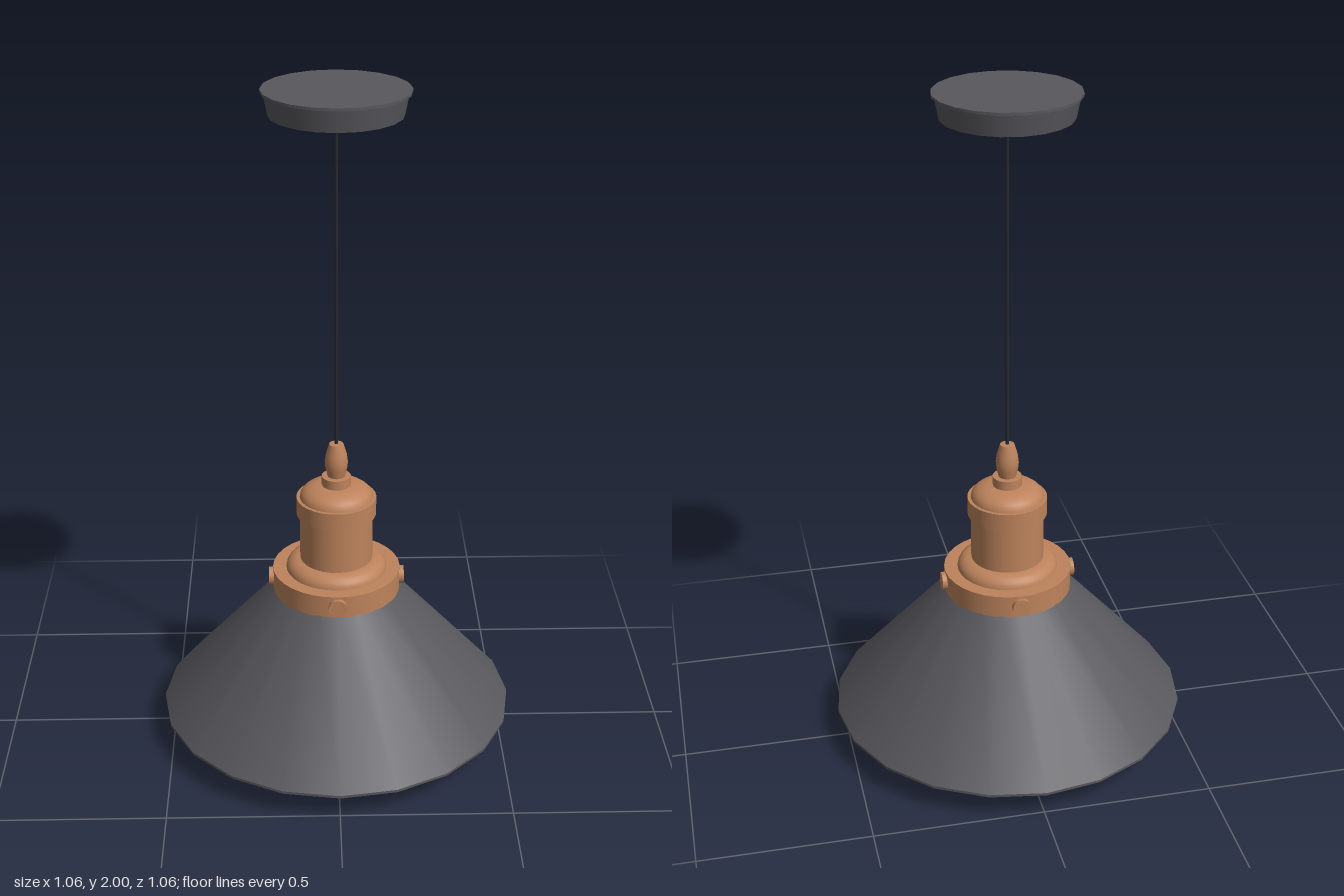
import * as THREE from 'three';

const mat = (name, color, side = THREE.FrontSide) => {
  const m = new THREE.MeshStandardMaterial({ color, side });
  m.name = name;
  return m;
};

// Revolve [radius, height] pairs listed bottom to top; doubled points keep corners sharp
function turned(name, profile, sides, material, smooth = false) {
  const pts = [];
  profile.forEach(([r, y], i) => {
    pts.push(new THREE.Vector2(r, y));
    if (!smooth && i > 0 && i < profile.length - 1) pts.push(new THREE.Vector2(r, y));
  });
  const mesh = new THREE.Mesh(new THREE.LatheGeometry(pts, sides), material);
  mesh.name = name;
  return mesh;
}

// Quarter-round shoulder from (r0, y0) in and up to (r1, y1)
function shoulder(r0, y0, r1, y1, n = 6) {
  const out = [];
  for (let i = 0; i <= n; i++) {
    const a = (i / n) * Math.PI / 2;
    out.push([r1 + (r0 - r1) * Math.cos(a), y0 + (y1 - y0) * Math.sin(a)]);
  }
  return out;
}

export function createModel() {
  const lamp = new THREE.Group();
  lamp.name = 'pendantLamp';
  const grey = mat('darkGreyMetal', 0x59585d);
  const copper = mat('copper', 0xbd835c);
  const black = mat('blackCable', 0x29282c);
  const glass = mat('paleGlass', 0xc9d6d8);

  // Ceiling canopy with a thin lip, and the cable below it
  lamp.add(turned('ceilingCanopy',
    [[0, 1.93], [0.185, 1.93], [0.197, 1.992], [0.205, 1.992], [0.205, 2], [0, 2]], 20, grey));
  lamp.add(turned('cableGrommet', [[0, 1.905], [0.009, 1.905], [0.009, 1.93]], 12, grey));
  lamp.add(turned('cable', [[0.005, 0.94], [0.005, 1.93]], 8, black));

  // Copper lamp holder, from the strain relief down to the shade ring
  const holder = new THREE.Group();
  holder.name = 'lampHolder';
  holder.add(turned('strainRelief',
    [[0.026, 0.85], [0.032, 0.875], [0.034, 0.895], [0.031, 0.92], [0.021, 0.953]], 20, copper, true));
  holder.add(turned('strainReliefTop', [[0.021, 0.953], [0, 0.954]], 20, copper));
  holder.add(turned('neckCollar', [[0.043, 0.815], [0.043, 0.85], [0, 0.85]], 24, copper));
  holder.add(turned('capDome', shoulder(0.108, 0.782, 0.04, 0.822), 32, copper, true));
  holder.add(turned('capBand',
    [[0.1, 0.728], [0.118, 0.728], [0.118, 0.782], [0.1, 0.782]], 32, copper));
  holder.add(turned('socketBody', [[0.108, 0.57], [0.108, 0.73]], 32, copper));
  holder.add(turned('flangeDome', shoulder(0.15, 0.548, 0.105, 0.583), 32, copper, true));
  holder.add(turned('shadeRing',
    [[0.17, 0.48], [0.19, 0.48], [0.19, 0.548], [0.1, 0.548]], 32, copper));

  // Four clamping screws around the ring
  for (let i = 0; i < 4; i++) {
    const a = i * Math.PI / 2;
    const screw = new THREE.Mesh(new THREE.CylinderGeometry(0.027, 0.027, 0.03, 20), copper);
    screw.name = 'clampScrew' + (i + 1);
    screw.rotation.set(Math.PI / 2, 0, -a, 'YXZ');
    screw.rotation.set(Math.PI / 2, a, 0, 'YXZ');
    screw.position.set(Math.sin(a) * 0.187, 0.515, Math.cos(a) * 0.187);
    holder.add(screw);
  }
  lamp.add(holder);

  // Thin conical shade: inner wall, rim and outer wall in one profile
  lamp.add(turned('shade',
    [[0, 0.485], [0.172, 0.485], [0.515, 0.095], [0.52, 0.088], [0.53, 0.088],
      [0.53, 0.096], [0.185, 0.487], [0, 0.495]], 20, grey));

  // Capsule bulb hanging inside the shade
  const bulb = shoulder(0.098, 0.103, 0, 0.005, 12).reverse();
  bulb.push([0.098, 0.4], ...shoulder(0.098, 0.4, 0.05, 0.45).slice(1), [0.05, 0.485]);
  lamp.add(turned('bulb', bulb, 32, glass, true));

  return lamp;
}
